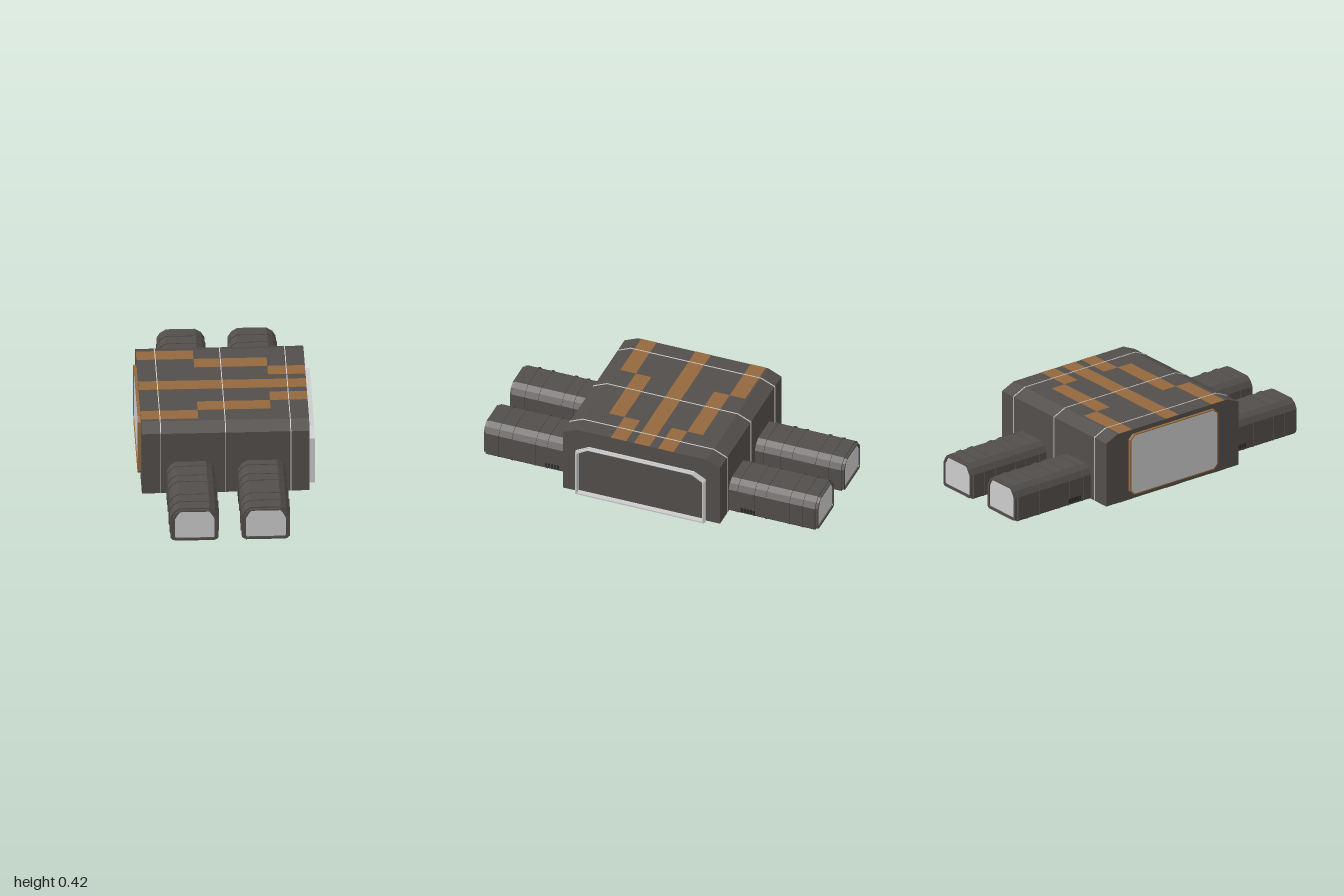
import * as THREE from 'three';

const mat = (color) => new THREE.MeshStandardMaterial({ color, flatShading: true, side: THREE.DoubleSide });
const dark = mat(0x524e4b);
const black = mat(0x2c2a29);
const orange = mat(0x94683e);
const grey = mat(0xcccccc);

// Right half of a symmetric outline, bottom to top; mirrored into a closed polygon
const full = (half, grow = 0) => {
  const right = half.map(([x, y]) => new THREE.Vector2(x + grow, y + (y > 0.1 ? grow : 0)));
  return right.concat(right.map((p) => new THREE.Vector2(-p.x, p.y)).reverse());
};
const profile = (half, hole, grow = 0) => {
  const shape = new THREE.Shape(full(half, grow));
  if (hole) shape.holes.push(new THREE.Path(full(hole)));
  return shape;
};

function add(group, name, geometry, material) {
  const mesh = new THREE.Mesh(geometry, material);
  mesh.name = name;
  group.add(mesh);
  return mesh;
}
const along = (shape, start, end) =>
  new THREE.ExtrudeGeometry(shape, { depth: end - start, bevelEnabled: false }).translate(0, 0, start);
const alongX = (shape, start, end) => along(shape, start, end).rotateY(Math.PI / 2);
const box = (x0, x1, y0, y1, z0, z1) =>
  new THREE.BoxGeometry(x1 - x0, y1 - y0, z1 - z0).translate((x0 + x1) / 2, (y0 + y1) / 2, (z0 + z1) / 2);

// Cross-sections: [half width, height]
const HULL = [[0.47, 0.003], [0.47, 0.385], [0.39, 0.421]];
const ROOM = [[0.45, 0.015], [0.45, 0.375], [0.385, 0.403]];
const DOORWAY = [[0.375, 0.012], [0.375, 0.28], [0.31, 0.318]];
const FRAME = [[0.385, 0.003], [0.385, 0.285], [0.315, 0.323]];
const PANEL = [[0.28, 0.035], [0.305, 0.06], [0.305, 0.365], [0.28, 0.39]];
const PANEL_RIM = [[0.285, 0.03], [0.312, 0.057], [0.312, 0.368], [0.285, 0.395]];
const TUBE = [[0.12, 0], [0.134, 0.014], [0.134, 0.15], [0.115, 0.183], [0.083, 0.204]];
const TIP = [[0.11, 0.005], [0.122, 0.017], [0.122, 0.147], [0.107, 0.177], [0.079, 0.197]];
const DOOR = [[0.105, 0.02], [0.111, 0.026], [0.111, 0.14], [0.098, 0.165], [0.082, 0.188]];

// Connecting tunnel, pointing to +z
function makeTunnel() {
  const g = new THREE.Group();
  add(g, 'tunnelBody', along(profile(TUBE), 0.45, 0.985), dark);
  add(g, 'tunnelTip', along(profile(TIP, DOOR), 0.985, 1), dark);
  add(g, 'tunnelDoor', along(profile(DOOR), 0.98, 0.993), grey);
  for (const z of [0.52, 0.62, 0.69, 0.83, 0.91]) {
    add(g, 'tunnelRib', along(profile(TUBE, null, 0.004), z - 0.004, z + 0.004), dark);
  }
  // Low vents on both sides
  for (const s of [-1, 1]) {
    for (let i = 0; i < 5; i++) {
      const z = 0.55 + i * 0.018;
      add(g, 'ventSlat', box(s * 0.136 - 0.003, s * 0.136 + 0.003, 0.02, 0.045, z - 0.006, z + 0.006), black);
    }
  }
  return g;
}

export function createModel() {
  const model = new THREE.Group();
  model.name = 'junctionModule';

  // Hollow hull with an end wall at each side
  const hull = new THREE.Group();
  hull.name = 'hull';
  model.add(hull);
  add(hull, 'hullShell', alongX(profile(HULL, ROOM), -0.475, 0.46), dark);
  add(hull, 'openEndWall', alongX(profile(ROOM, DOORWAY), 0.44, 0.46), dark);
  add(hull, 'closedEndWall', alongX(profile(ROOM, PANEL), -0.475, -0.455), dark);

  // Thin bands around the hull
  for (const x of [-0.37, -0.008, 0.355]) {
    add(hull, 'hullSeam', alongX(profile(HULL, HULL, 0.003), x - 0.0025, x + 0.0025), grey);
  }

  // Door frame on the open end, in three thin steps
  [[0.46, 0.473, 0], [0.473, 0.479, 0.004], [0.479, 0.492, 0]].forEach(([a, b, grow]) =>
    add(hull, 'doorFrame', alongX(profile(FRAME, DOORWAY, grow), a, b), grey));

  // Closed panel with a coloured rim
  add(hull, 'endPanel', alongX(profile(PANEL), -0.487, -0.465), grey);
  add(hull, 'endPanelRim', alongX(profile(PANEL_RIM, PANEL), -0.492, -0.475), orange);

  // Stepped stripes on the roof, ceiling, floor and underside
  const stripes = [[-0.475, 0.46, -0.048, 0.045]];
  for (const [x0, x1, z0, z1] of [
    [-0.475, -0.157, 0.281, 0.374],
    [-0.157, 0.25, 0.188, 0.281],
    [0.25, 0.46, 0.095, 0.188],
  ]) stripes.push([x0, x1, z0 - 0.004, z1 - 0.004], [x0, x1, -z1 - 0.004, -z0 - 0.004]);
  const levels = { roofStripe: 0.421, ceilingStripe: 0.403, floorStripe: 0.015, undersideStripe: 0.003 };
  for (const [name, y] of Object.entries(levels)) {
    const inside = name === 'ceilingStripe' || name === 'floorStripe';
    for (const [x0, x1, z0, z1] of stripes) {
      add(hull, name, box(inside ? Math.max(x0, -0.455) : x0, inside ? Math.min(x1, 0.44) : x1,
        y - 0.0015, y + 0.0015, z0, z1), orange);
    }
  }

  // Two tunnels at the front and two at the back
  for (const x of [-0.202, 0.195]) {
    for (const turn of [0, Math.PI]) {
      const tunnel = makeTunnel();
      tunnel.name = turn ? 'backTunnel' : 'frontTunnel';
      tunnel.position.x = x;
      tunnel.rotation.y = turn;
      model.add(tunnel);
    }
  }
  return model;
}
